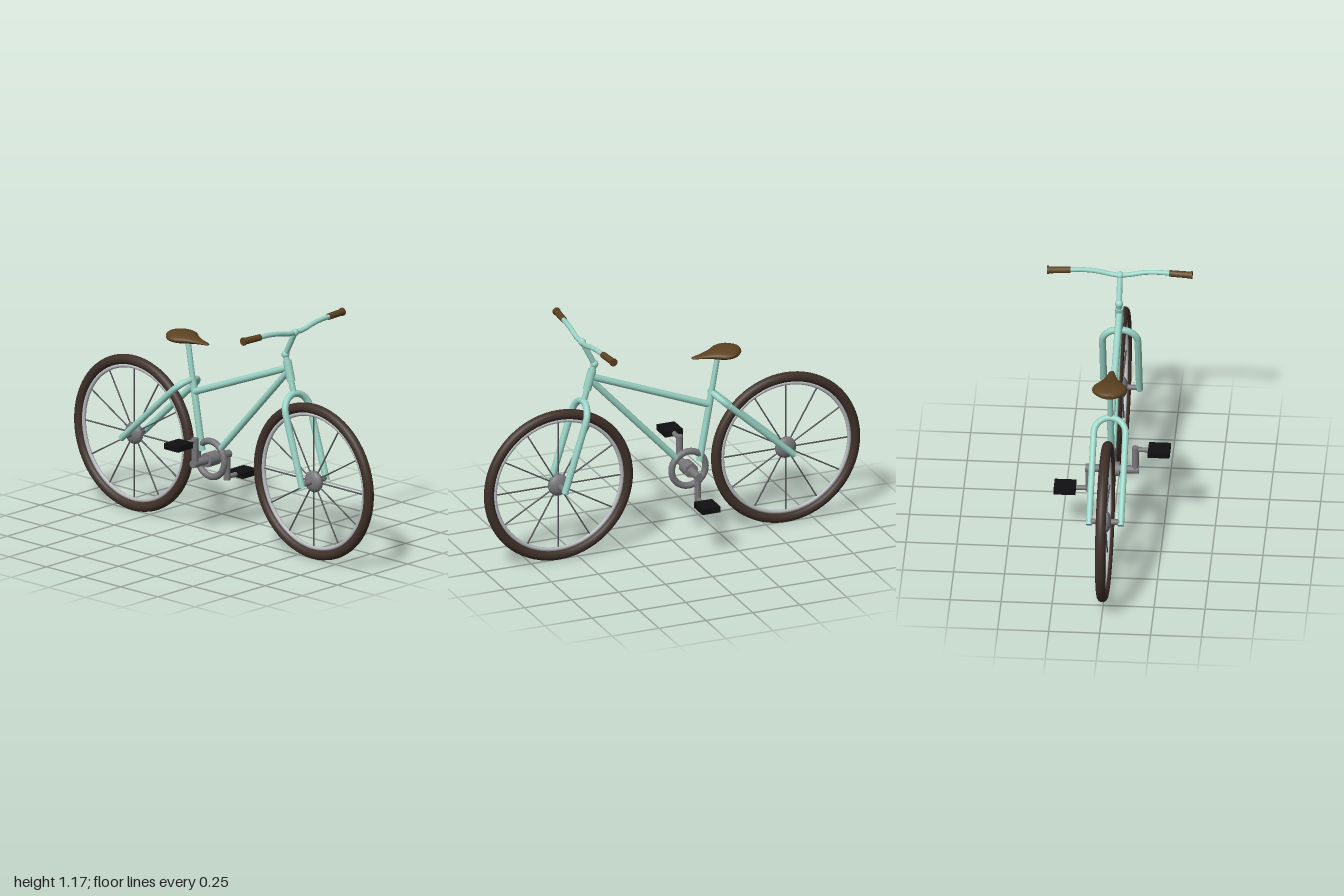
import * as THREE from 'three';

const mat = (name, color) => {
  const m = new THREE.MeshStandardMaterial({ color });
  m.name = name;
  return m;
};
const V = (x, y, z = 0) => new THREE.Vector3(x, y, z);

export function createModel() {
  const bike = new THREE.Group();
  bike.name = 'bicycle';
  const mint = mat('mint paint', 0x9ad4c6);
  const rubber = mat('brown rubber', 0x3f3029);
  const silver = mat('rim silver', 0xb8bcbe);
  const metal = mat('grey metal', 0x77777a);
  const wire = mat('spoke grey', 0x58585c);
  const leather = mat('brown leather', 0x5c4220);
  const black = mat('pedal black', 0x101012);

  const add = (name, geo, material, pos = V(0, 0), parent = bike) => {
    const m = new THREE.Mesh(geo, material);
    m.name = name;
    m.position.copy(pos);
    parent.add(m);
    return m;
  };
  // closed round bar from a to b
  const rod = (name, a, b, ra, material, rb = ra, parent = bike, sides = 20) => {
    const d = b.clone().sub(a);
    const m = add(name, new THREE.CylinderGeometry(rb, ra, d.length(), sides), material,
      a.clone().add(b).multiplyScalar(0.5), parent);
    m.quaternion.setFromUnitVectors(V(0, 1), d.normalize());
    return m;
  };
  const ball = (name, p, r, material, parent = bike) =>
    add(name, new THREE.SphereGeometry(r, 24, 16), material, p, parent);

  // wheels
  const addWheel = (name, x, axleHalf) => {
    const wheel = new THREE.Group();
    wheel.name = name;
    wheel.position.set(x, 0.395, 0);
    bike.add(wheel);
    const o = V(0, 0);
    add('tyre', new THREE.TorusGeometry(0.37, 0.025, 16, 72), rubber, o, wheel);
    add('rim', new THREE.TorusGeometry(0.338, 0.01, 10, 72), silver, o, wheel);
    ball('hub', o, 0.055, metal, wheel).scale.z = 0.55;
    rod('axle', V(0, 0, -axleHalf), V(0, 0, axleHalf), 0.014, metal, 0.014, wheel);
    for (let i = 0; i < 12; i++) {
      const a = i * Math.PI / 6;
      rod('spoke', o, V(Math.cos(a) * 0.335, Math.sin(a) * 0.335), 0.0038, wire, 0.0038, wheel, 6);
    }
  };
  addWheel('rearWheel', -0.605, 0.085);
  addWheel('frontWheel', 0.605, 0.095);

  // pair of blades joined by a round arch at the top
  const addFork = (name, bottom, top, half, r) => {
    const fork = new THREE.Group();
    fork.name = name;
    bike.add(fork);
    const dir = top.clone().sub(bottom).normalize();
    const centre = top.clone().addScaledVector(dir, -half);
    const pts = [];
    for (let i = 0; i <= 12; i++) {
      const a = i * Math.PI / 12;
      pts.push(centre.clone().addScaledVector(dir, Math.sin(a) * half).add(V(0, 0, Math.cos(a) * half)));
    }
    add('arch', new THREE.TubeGeometry(new THREE.CatmullRomCurve3(pts), 32, r, 16), mint, V(0, 0), fork);
    for (const s of [-1, 1]) {
      const off = V(0, 0, s * half);
      rod('blade', bottom.clone().add(off), centre.clone().add(off), r, mint, r, fork);
    }
  };
  addFork('frontFork', V(0.608, 0.382), V(0.472, 0.815), 0.087, 0.017);
  addFork('rearStays', V(-0.618, 0.382), V(-0.215, 0.748), 0.078, 0.016);

  // frame tubes
  rod('topTube', V(-0.2, 0.688), V(0.432, 0.94), 0.017, mint);
  rod('downTube', V(-0.025, 0.43), V(0.435, 0.925), 0.016, mint);
  rod('seatTube', V(-0.147, 0.4), V(-0.21, 0.75), 0.017, mint);
  rod('seatPost', V(-0.205, 0.72), V(-0.245, 0.95), 0.014, mint);
  rod('headTube', V(0.453, 0.875), V(0.425, 0.975), 0.021, mint);
  rod('steerer', V(0.472, 0.81), V(0.414, 1.005), 0.015, mint);

  // stem and handlebar
  ball('stemJoint', V(0.414, 1.005), 0.02, mint);
  rod('stem', V(0.414, 1.005), V(0.478, 1.13), 0.014, mint);
  ball('barClamp', V(0.478, 1.13), 0.019, mint);
  const half = [[0.483, 1.133, 0.05], [0.482, 1.148, 0.12], [0.477, 1.155, 0.19], [0.472, 1.155, 0.25]];
  const bar = [...half.map(([x, y, z]) => V(x, y, -z)).reverse(), V(0.478, 1.13), ...half.map(p => V(...p))];
  add('handlebar', new THREE.TubeGeometry(new THREE.CatmullRomCurve3(bar), 64, 0.012, 14), mint);
  for (const s of [-1, 1]) {
    rod('grip', V(0.472, 1.155, s * 0.243), V(0.463, 1.155, s * 0.35), 0.016, leather, 0.017);
    rod('gripEnd', V(0.4635, 1.155, s * 0.348), V(0.463, 1.155, s * 0.356), 0.02, leather);
  }

  // saddle: a sphere reshaped to a broad tail and a slim nose
  const saddle = new THREE.SphereGeometry(1, 40, 24);
  const P = saddle.attributes.position;
  const width = new THREE.CatmullRomCurve3([V(-1, 0.07), V(-0.6, 0.092), V(-0.2, 0.082), V(0.3, 0.045), V(0.7, 0.027), V(1, 0.022)]);
  for (let i = 0; i < P.count; i++) {
    const x = P.getX(i), y = P.getY(i), z = P.getZ(i);
    const ring = Math.max(Math.hypot(y, z), 1e-6);
    const round = Math.pow(Math.min(ring, 1), 0.6); // blunter ends
    const w = width.getPoint((x + 1) / 2).y;
    const h = THREE.MathUtils.lerp(0.03, 0.009, THREE.MathUtils.smoothstep(x, -0.7, 1));
    P.setXYZ(i, -0.232 + x * 0.128, 0.953 - x * 0.006 + (y / ring) * round * h, (z / ring) * round * w);
  }
  saddle.computeVertexNormals();
  add('saddle', saddle, leather);

  // crankset and pedals
  const cx = -0.088, cy = 0.368;
  add('chainring', new THREE.TorusGeometry(0.09, 0.0165, 14, 48), metal, V(cx, cy));
  rod('bottomBracket', V(cx, cy, -0.037), V(cx, cy, 0.037), 0.036, metal);
  rod('crankAxle', V(cx, cy, -0.131), V(cx, cy, 0.131), 0.02, metal);
  for (const s of [-1, 1]) {
    const py = cy + s * 0.117;
    rod('crankArm', V(cx, cy, s * 0.114), V(cx, py + s * 0.014, s * 0.114), 0.017, metal);
    rod('pedalAxle', V(cx, py, s * 0.114), V(cx, py, s * 0.19), 0.012, metal);
    add('pedal', new THREE.BoxGeometry(0.096, 0.03, 0.107), black, V(cx, py, s * 0.231));
  }
  return bike;
}
